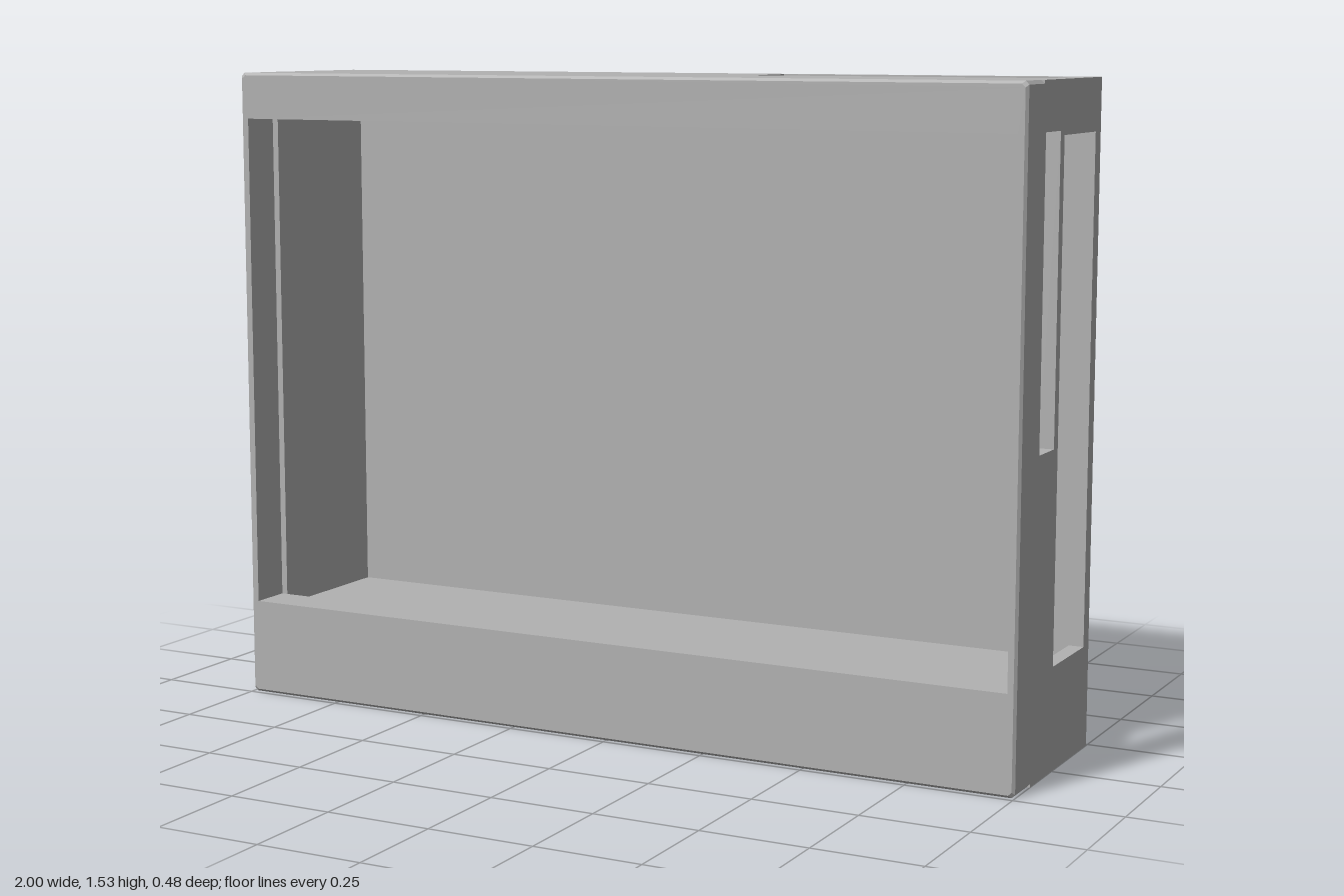
import * as THREE from 'three';

const H = 1.53, FRONT = 0.24, BACK = -0.24, JOIN = 0.14, WALL = 0.035, SKIN = 0.02;

// Rectangle outline; c cuts the corners
function outline(Type, x0, y0, x1, y1, c = 0) {
  const pts = c
    ? [[x0 + c, y0], [x1 - c, y0], [x1, y0 + c], [x1, y1 - c], [x1 - c, y1], [x0 + c, y1], [x0, y1 - c], [x0, y0 + c]]
    : [[x0, y0], [x1, y0], [x1, y1], [x0, y1]];
  return new Type(pts.map(([x, y]) => new THREE.Vector2(x, y)));
}

// Flat plate with rectangular cut-outs, extruded along +z
function plate(rect, holes, depth) {
  const shape = outline(THREE.Shape, ...rect);
  shape.holes = holes.map((h) => outline(THREE.Path, ...h));
  return new THREE.ExtrudeGeometry(shape, { depth, bevelEnabled: false });
}

export function createModel() {
  const group = new THREE.Group();
  const grey = new THREE.MeshStandardMaterial({ color: 0xb2b2b2 });
  grey.name = 'grey';

  const add = (name, geometry, x = 0, y = 0, z = 0) => {
    const mesh = new THREE.Mesh(geometry, grey);
    mesh.name = name;
    mesh.position.set(x, y, z);
    group.add(mesh);
  };
  const box = (name, x0, x1, y0, y1, z0, z1) =>
    add(name, new THREE.BoxGeometry(x1 - x0, y1 - y0, z1 - z0), (x0 + x1) / 2, (y0 + y1) / 2, (z0 + z1) / 2);

  // Closed sides of the case
  const inner = 1 - WALL;
  box('backPanel', -inner, inner, SKIN, H - SKIN, BACK, BACK + SKIN);
  box('bottomPanel', -inner, inner, 0, SKIN, BACK, JOIN);
  box('rightWall', -1, -inner, 0, H, BACK, JOIN);

  // Left wall with a wide opening and a narrow slot (shape u = -z)
  const side = plate([-JOIN, 0, -BACK, H],
    [[-0.005, 0.24, 0.205, 1.41], [-0.125, 0.73, -0.03, 1.42]], WALL);
  side.rotateY(Math.PI / 2);
  add('leftWall', side, inner);

  // Top panel with a long opening (shape v = -z)
  const top = plate([-inner, -JOIN, inner, -BACK], [[0.24, 0.045, 0.95, 0.2]], SKIN);
  top.rotateX(-Math.PI / 2);
  add('topPanel', top, 0, H - SKIN);

  // Shelf, leaving a groove behind the front frame
  box('shelf', -inner, inner, 0.165, 0.205, BACK + SKIN, 0.09);

  // Front frame with cut corners
  const cut = 0.008, lip = 0.006;
  const rect = [-1, 0, 1, H, cut];
  const window = [-0.98, 0.23, 0.98, 1.42];
  add('frontFrame', plate(rect, [window], FRONT - JOIN - lip), 0, 0, JOIN);

  // Chamfered front edge of the frame: pull the outer front corners inward
  const edge = plate(rect, [window], lip);
  const p = edge.attributes.position;
  for (let i = 0; i < p.count; i++) {
    const x = p.getX(i), y = p.getY(i);
    const outer = Math.abs(x) > 0.985 || y < 0.1 || y > 1.5;
    if (p.getZ(i) > lip / 2 && outer) {
      p.setX(i, x * (1 - lip));
      p.setY(i, H / 2 + (y - H / 2) * (1 - lip * 2 / H));
    }
  }
  edge.computeVertexNormals();
  add('frontFrameEdge', edge, 0, 0, FRONT - lip);

  return group;
}
